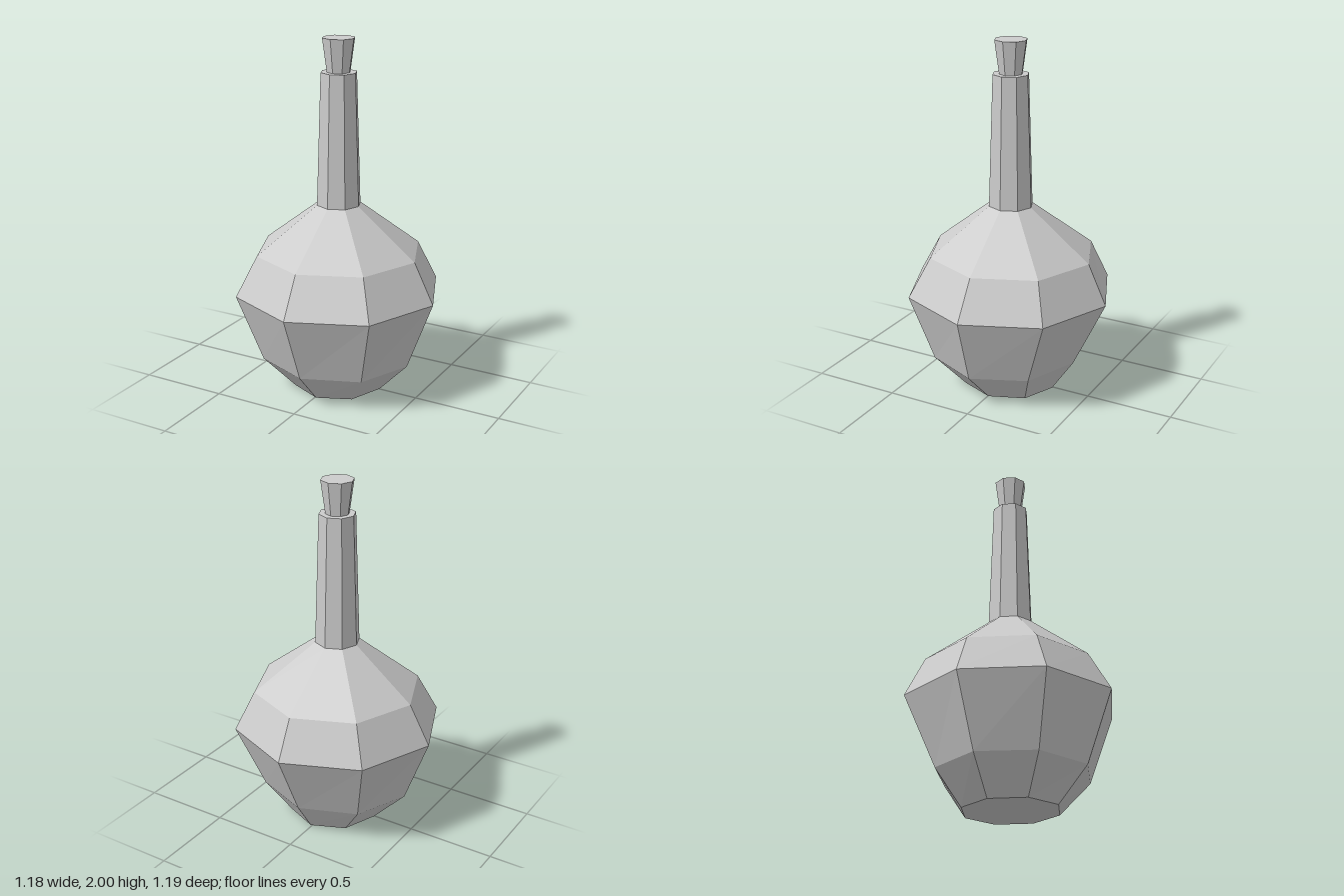
import * as THREE from 'three';

const SIDES = 8;

// Joins eight-sided rings [y, radiusX, radiusZ, centreX, centreZ] from bottom to top, with capped ends.
function loft(name, rings) {
  const pos = [], index = [];
  const last = rings.length - 1;
  for (const [y, rx, rz, cx = 0, cz = 0] of rings) {
    for (let i = 0; i < SIDES; i++) {
      const a = (i / SIDES) * Math.PI * 2;
      pos.push(cx + Math.sin(a) * rx, y, cz + Math.cos(a) * rz);
    }
  }
  for (let r = 0; r < last; r++) {
    for (let i = 0; i < SIDES; i++) {
      const j = (i + 1) % SIDES;
      const a = r * SIDES + i, b = r * SIDES + j;
      index.push(a, b, b + SIDES, a, b + SIDES, a + SIDES);
    }
  }
  for (let i = 1; i < SIDES - 1; i++) {
    const t = last * SIDES;
    index.push(0, i + 1, i, t, t + i, t + i + 1);
  }
  const indexed = new THREE.BufferGeometry();
  indexed.setAttribute('position', new THREE.Float32BufferAttribute(pos, 3));
  indexed.setIndex(index);
  const geometry = indexed.toNonIndexed();
  geometry.computeVertexNormals();
  const material = new THREE.MeshStandardMaterial({ color: 0xcccccc, flatShading: true });
  const mesh = new THREE.Mesh(geometry, material);
  mesh.name = name;
  return mesh;
}

export function createModel() {
  const group = new THREE.Group();
  group.name = 'bottle';

  // Faceted bulb, slightly irregular like hand-blown glass
  group.add(loft('body', [
    [0, 0.262, 0.275, 0.008, -0.003],
    [0.19, 0.445, 0.425, 0.005, 0.018],
    [0.58, 0.592, 0.593],
    [0.805, 0.473, 0.475, -0.002, -0.01],
    [1.075, 0.125, 0.127, 0.001, -0.003],
  ]));

  // Long tapering neck
  group.add(loft('neck', [
    [1.075, 0.125, 0.127, 0.001, -0.003],
    [1.815, 0.102, 0.102, 0.001, -0.003],
  ]));

  // Flared stopper set into the mouth
  group.add(loft('stopper', [
    [1.80, 0.064, 0.064, 0, -0.003],
    [2.0, 0.092, 0.092, 0, -0.003],
  ]));

  return group;
}
